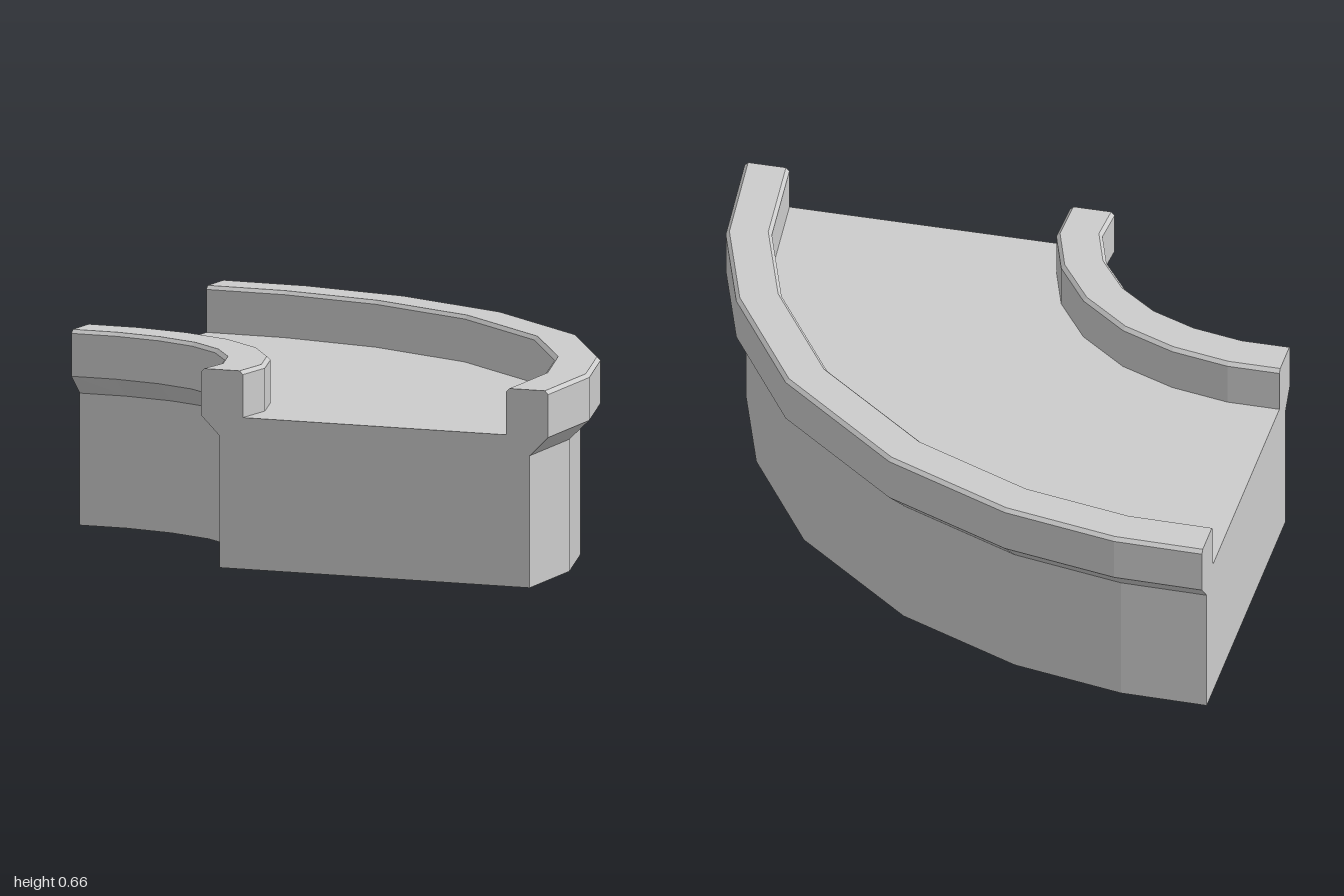
import * as THREE from 'three';

// Stations along the quarter bend: [inner x, inner z, outer x, outer z]
const stations = [
  [-1, 0.31, -1, -0.93],
  [-0.84, 0.31, -0.7, -0.925],
  [-0.67, 0.345, -0.31, -0.845],
  [-0.52, 0.41, 0.13, -0.645],
  [-0.39, 0.515, 0.57, -0.275],
  [-0.295, 0.65, 0.84, 0.15],
  [-0.245, 0.8, 0.965, 0.52],
  [-0.255, 0.93, 1, 0.93],
];

const TOP = 0.66, FLOOR = 0.505, LEDGE = 0.44, INSET = 0.067, RAIL = 0.152, BEVEL = 0.012;

// Half of the cross-section, from the base up over a rail to the channel floor:
// [distance in from the side edge, height]
const half = [
  [INSET, 0], [INSET, LEDGE], [0, FLOOR], [0, TOP - BEVEL], [BEVEL, TOP],
  [RAIL - BEVEL, TOP], [RAIL, TOP - BEVEL], [RAIL, FLOOR],
];

// Closed ring of points for one station: outer half, then mirrored inner half
function section([ix, iz, ox, oz]) {
  const inner = new THREE.Vector2(ix, iz), outer = new THREE.Vector2(ox, oz);
  const width = inner.distanceTo(outer);
  const dir = outer.clone().sub(inner).normalize();
  const profile = [
    ...half.map(([d, y]) => new THREE.Vector2(width - d, y)),
    ...half.slice().reverse().map(([d, y]) => new THREE.Vector2(d, y)),
  ];
  const points = profile.map((p) => new THREE.Vector3(ix + dir.x * p.x, p.y, iz + dir.y * p.x));
  return { profile, points };
}

function meshFrom(triangles, name) {
  const geometry = new THREE.BufferGeometry().setFromPoints(triangles);
  geometry.computeVertexNormals();
  const material = new THREE.MeshStandardMaterial({ color: 0xcccccc, flatShading: true });
  const mesh = new THREE.Mesh(geometry, material);
  mesh.name = name;
  return mesh;
}

export function createModel() {
  const group = new THREE.Group();
  group.name = 'curvedChannel';
  const sections = stations.map(section);

  // Base, flared sides, rails and channel floor swept round the bend
  const sides = [];
  for (let i = 0; i < sections.length - 1; i++) {
    const p = sections[i].points, q = sections[i + 1].points;
    for (let j = 0; j < p.length; j++) {
      const k = (j + 1) % p.length;
      sides.push(p[j], p[k], q[k], p[j], q[k], q[j]);
    }
  }
  group.add(meshFrom(sides, 'channelBody'));

  // Flat faces at the two ends
  const addEnd = ({ profile, points }, flip, name) => {
    const triangles = [];
    for (const [a, b, c] of THREE.ShapeUtils.triangulateShape(profile.slice(), [])) {
      triangles.push(points[a], points[flip ? c : b], points[flip ? b : c]);
    }
    group.add(meshFrom(triangles, name));
  };
  addEnd(sections[0], true, 'sideEndFace');
  addEnd(sections[sections.length - 1], false, 'frontEndFace');

  return group;
}
